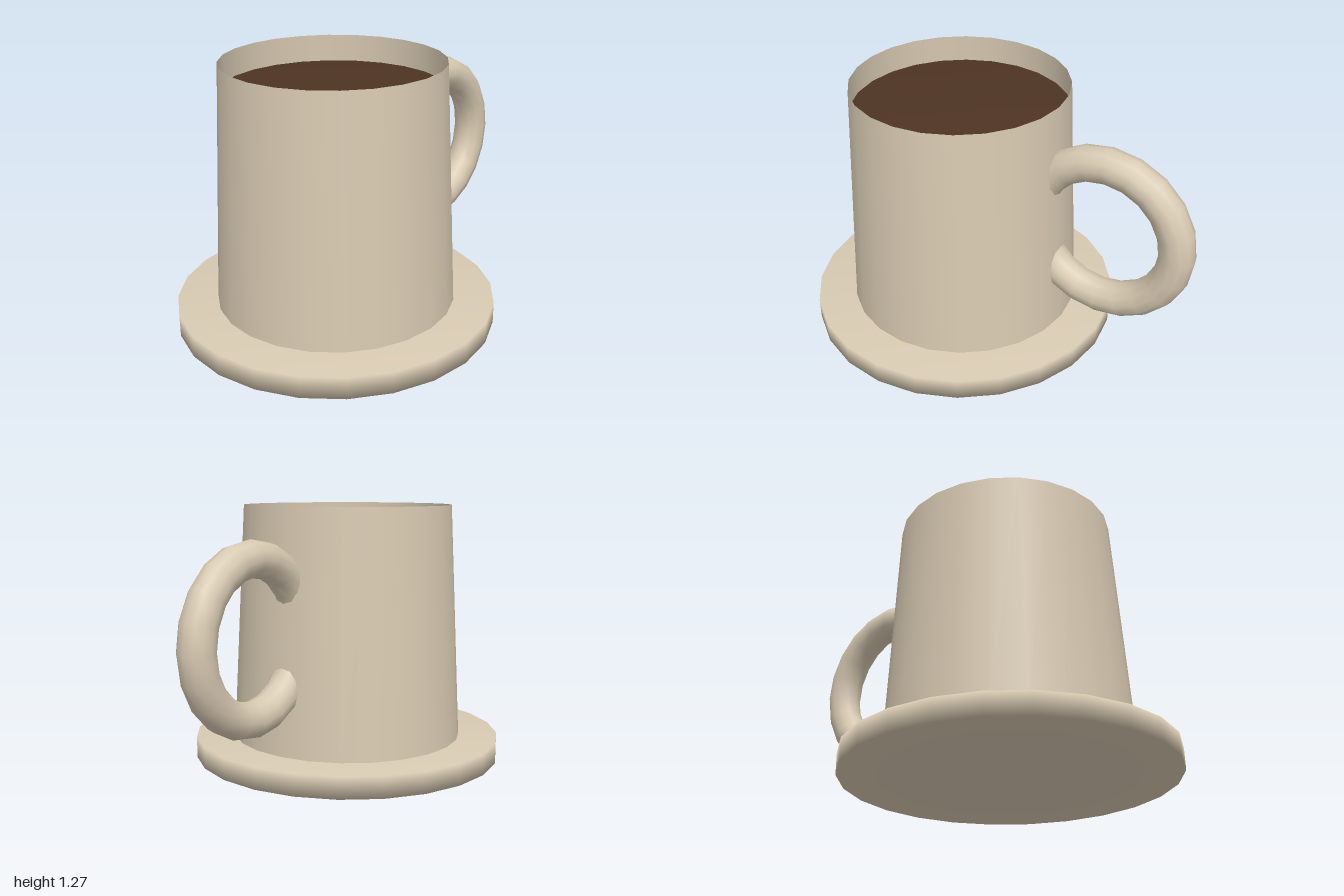
import * as THREE from 'three';

const AXIS_X = -0.225; // cup and saucer share this centre line
const SIDES = 24;

export function createModel() {
  const group = new THREE.Group();
  const ceramic = new THREE.MeshStandardMaterial({ color: 0xd8cab2, side: THREE.DoubleSide });
  ceramic.name = 'beige ceramic';
  const coffeeBrown = new THREE.MeshStandardMaterial({ color: 0x4e3423 });
  coffeeBrown.name = 'coffee brown';

  const add = (name, geometry, material, x, y) => {
    const mesh = new THREE.Mesh(geometry, material);
    mesh.name = name;
    mesh.position.set(x, y, 0);
    group.add(mesh);
  };

  // Solid turned from a short profile, softly shaded over its edges
  const turned = (profile) =>
    new THREE.LatheGeometry(profile.map(([r, y]) => new THREE.Vector2(r, y)), SIDES);

  // Saucer: thick flat disc
  add('saucer', turned([[0, 0], [0.775, 0], [0.775, 0.105], [0, 0.105]]), ceramic, AXIS_X, 0);

  // Cup: tapered thin wall, open at the top
  const wall = new THREE.CylinderGeometry(0.52, 0.58, 1.165, SIDES, 1, true);
  add('cupWall', wall, ceramic, AXIS_X, 0.105 + 1.165 / 2);

  // Coffee: disc just below the rim
  add('coffee', turned([[0, 0], [0.526, 0], [0.526, 0.04], [0, 0.04]]), coffeeBrown, AXIS_X, 1.097);

  // Handle: ring sunk into the cup wall
  add('handle', new THREE.TorusGeometry(0.361, 0.085, 12, 20), ceramic, 0.554, 0.69);

  return group;
}
